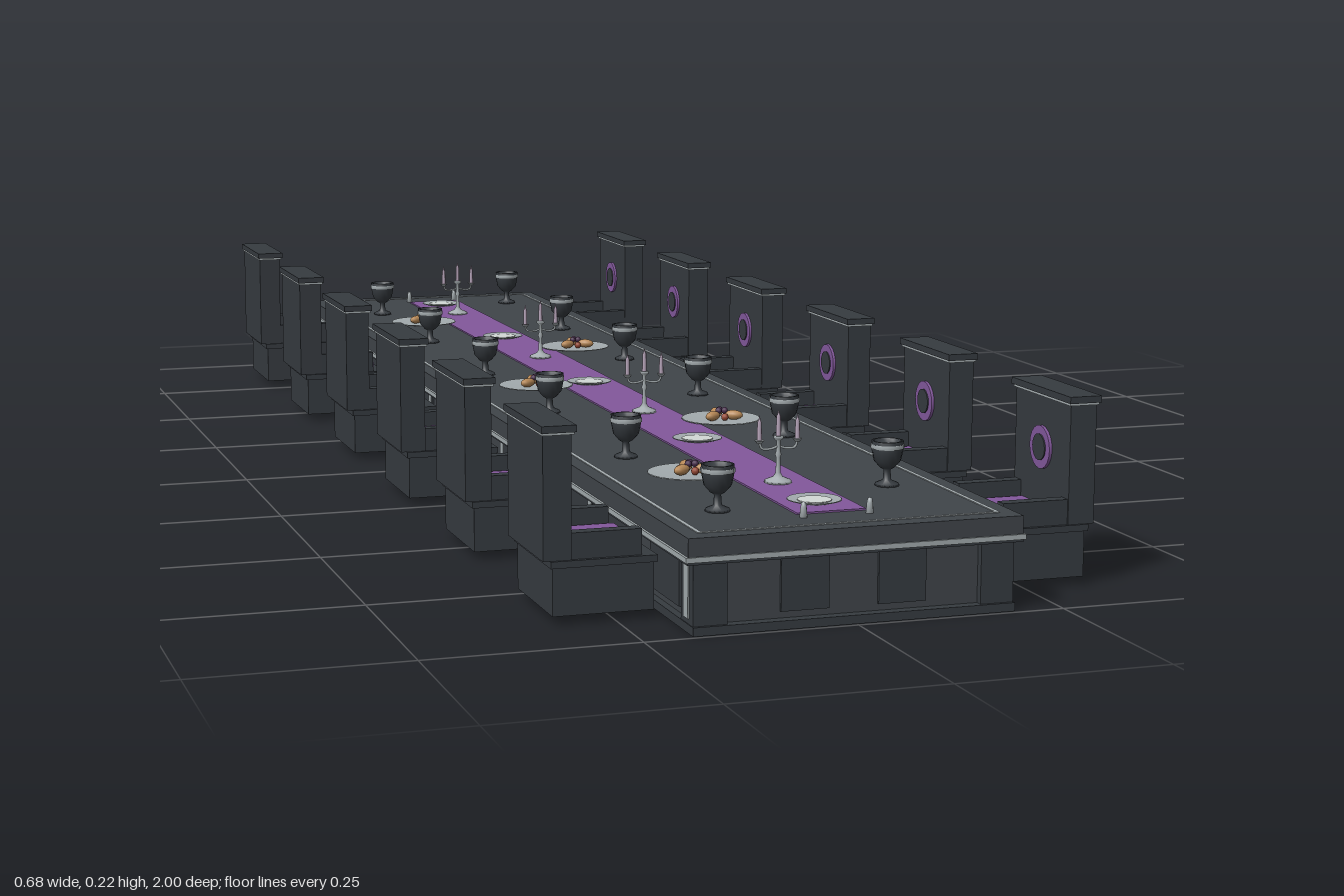
import * as THREE from 'three';

const paint = (name, color) => {
  const m = new THREE.MeshStandardMaterial({ color });
  m.name = name;
  return m;
};
const M = {
  stone: paint('charcoal stone', 0x40454a),
  dark: paint('dark wood', 0x363b40),
  silver: paint('silver', 0xa3abae),
  pale: paint('pale porcelain', 0xd3d9d6),
  purple: paint('purple cloth', 0x83589c),
  wax: paint('lilac wax', 0xb5a3b8),
  bread: paint('bread crust', 0xb98a58),
  fruit: paint('dark fruit', 0x4a2f4f),
  red: paint('red fruit', 0x9a4a35),
};

function add(parent, name, geo, mat, x = 0, y = 0, z = 0) {
  const mesh = new THREE.Mesh(geo, mat);
  mesh.name = name;
  mesh.position.set(x, y, z);
  parent.add(mesh);
  return mesh;
}
// Box given by its min and max corners
function box(parent, name, mat, x0, x1, y0, y1, z0, z1) {
  return add(parent, name, new THREE.BoxGeometry(x1 - x0, y1 - y0, z1 - z0), mat,
    (x0 + x1) / 2, (y0 + y1) / 2, (z0 + z1) / 2);
}
function lathe(parent, name, mat, pts, seg = 16, x = 0, y = 0, z = 0) {
  return add(parent, name, new THREE.LatheGeometry(pts.map(p => new THREE.Vector2(...p)), seg), mat, x, y, z);
}
function group(parent, name, x = 0, y = 0, z = 0) {
  const g = new THREE.Group();
  g.name = name;
  g.position.set(x, y, z);
  parent.add(g);
  return g;
}

const TOP = 0.11;

function table(root) {
  const t = group(root, 'table');
  box(t, 'plinth', M.dark, -0.192, 0.192, 0, 0.01, -0.995, 0.995);
  box(t, 'body', M.stone, -0.183, 0.183, 0.01, 0.082, -0.982, 0.982);
  box(t, 'silverTrim', M.silver, -0.202, 0.202, 0.083, 0.089, -0.999, 0.999);
  box(t, 'underTop', M.dark, -0.2, 0.2, 0.08, 0.083, -0.997, 0.997);
  box(t, 'tabletop', M.stone, -0.199, 0.199, 0.089, TOP, -0.997, 0.997);
  for (const s of [-1, 1]) {
    // corner pilasters, end panels and side panels
    for (const e of [-1, 1]) {
      add(t, 'cornerPilaster', new THREE.BoxGeometry(0.04, 0.07, 0.04), M.dark, s * 0.171, 0.045, e * 0.971);
      add(t, 'endPanel', new THREE.BoxGeometry(0.057, 0.062, 0.006), M.dark, s * 0.058, 0.049, e * 0.983);
    }
    for (const z of [-0.97, -0.6, -0.2, 0.2, 0.6, 0.97])
      add(t, 'silverStrip', new THREE.BoxGeometry(0.006, 0.064, 0.016), M.silver, s * (Math.abs(z) > 0.9 ? 0.1895 : 0.184), 0.048, z);
    for (let i = 0; i < 12; i++)
      add(t, 'sidePanel', new THREE.BoxGeometry(0.006, 0.062, 0.1), M.dark, s * 0.183, 0.049, -0.88 + i * 0.16);
    // inlaid line around the top
    add(t, 'inlaySide', new THREE.BoxGeometry(0.005, 0.001, 1.95), M.silver, s * 0.178, TOP + 0.0005, 0);
    add(t, 'inlayEnd', new THREE.BoxGeometry(0.351, 0.001, 0.005), M.silver, 0, TOP + 0.0005, s * 0.9725);
  }
  box(t, 'runner', M.purple, -0.042, 0.042, TOP, TOP + 0.002, -0.917, 0.917);
}

// Chair facing -x, placed on the +x side
function chair(root, side, z) {
  const c = group(root, 'chair', 0, 0, z);
  if (side < 0) c.rotation.y = Math.PI;
  box(c, 'seatBase', M.dark, 0.206, 0.324, 0.01, 0.065, -0.07, 0.07);
  box(c, 'seatRim', M.dark, 0.203, 0.327, 0.065, 0.073, -0.074, 0.074);
  box(c, 'cushion', M.purple, 0.215, 0.304, 0.073, 0.084, -0.05, 0.05);
  for (const s of [-1, 1])
    add(c, 'armrest', new THREE.BoxGeometry(0.085, 0.03, 0.016), M.dark, 0.2625, 0.088, s * 0.061);
  box(c, 'backrest', M.dark, 0.302, 0.335, 0.073, 0.214, -0.071, 0.071);
  box(c, 'backTrim', M.silver, 0.2995, 0.3365, 0.214, 0.217, -0.074, 0.074);
  box(c, 'backCap', M.dark, 0.298, 0.338, 0.217, 0.225, -0.077, 0.077);
  // plain round medallion
  const disc = add(c, 'medallion', new THREE.CylinderGeometry(0.026, 0.026, 0.004, 20), M.purple, 0.3005, 0.153, 0);
  disc.rotation.z = Math.PI / 2;
  const core = add(c, 'medallionCentre', new THREE.CylinderGeometry(0.016, 0.016, 0.004, 16), M.dark, 0.299, 0.153, 0);
  core.rotation.z = Math.PI / 2;
}

function goblet(root, x, z) {
  const g = group(root, 'goblet', x, TOP, z);
  lathe(g, 'gobletCup', M.dark, [[0, 0], [0.015, 0], [0.014, 0.003], [0.005, 0.007], [0.004, 0.019],
    [0.009, 0.022], [0.016, 0.03], [0.0185, 0.042], [0.019, 0.054], [0.016, 0.054], [0.014, 0.045], [0, 0.043]]);
  lathe(g, 'gobletBand', M.silver, [[0.0188, 0.045], [0.0198, 0.045], [0.0198, 0.05], [0.019, 0.05]]);
}

function candelabrum(root, z) {
  const g = group(root, 'candelabrum', 0, TOP + 0.002, z);
  lathe(g, 'stand', M.silver, [[0, 0], [0.017, 0], [0.016, 0.003], [0.006, 0.007], [0.003, 0.012], [0.0025, 0.03],
    [0.004, 0.034], [0.0025, 0.038], [0.0025, 0.05], [0.006, 0.053], [0.006, 0.056], [0, 0.056]], 12);
  add(g, 'middleCandle', new THREE.CylinderGeometry(0.0025, 0.003, 0.025, 10), M.wax, 0, 0.068, 0);
  add(g, 'middleTip', new THREE.ConeGeometry(0.002, 0.008, 8), M.wax, 0, 0.084, 0);
  for (const s of [-1, 1]) {
    const path = new THREE.CatmullRomCurve3([[0, 0.044], [0.01, 0.041], [0.021, 0.042], [0.024, 0.05]]
      .map(([x, y]) => new THREE.Vector3(s * x, y, 0)));
    add(g, 'arm', new THREE.TubeGeometry(path, 12, 0.0016, 6), M.silver);
    add(g, 'candleCup', new THREE.CylinderGeometry(0.006, 0.003, 0.004, 10), M.silver, s * 0.024, 0.05, 0);
    add(g, 'candle', new THREE.CylinderGeometry(0.0025, 0.003, 0.022, 10), M.wax, s * 0.024, 0.063, 0);
    add(g, 'candleTip', new THREE.ConeGeometry(0.002, 0.008, 8), M.wax, s * 0.024, 0.078, 0);
  }
}

function platter(root, x, z) {
  const g = group(root, 'platter', x, TOP, z);
  lathe(g, 'dish', M.silver, [[0, 0], [0.036, 0], [0.053, 0.003], [0.052, 0.0045], [0.036, 0.002], [0, 0.002]], 24);
  for (let i = 0; i < 3; i++) {
    const a = i * Math.PI * 2 / 3 + 0.5;
    const roll = add(g, 'breadRoll', new THREE.SphereGeometry(0.008, 12, 8), M.bread, Math.cos(a) * 0.017, 0.0085, Math.sin(a) * 0.017);
    roll.scale.set(1.6, 0.8, 0.85);
    roll.rotation.y = -a;
    add(g, 'redFruit', new THREE.SphereGeometry(0.005, 10, 8), M.red, Math.cos(a + 1) * 0.013, 0.007, Math.sin(a + 1) * 0.013);
    add(g, 'grape', new THREE.SphereGeometry(0.0045, 10, 8), M.fruit, Math.cos(a) * 0.005, 0.014, Math.sin(a) * 0.005);
  }
}

export function createModel() {
  const root = new THREE.Group();
  root.name = 'banquetTable';
  table(root);

  // six seats on each side, each with a goblet
  for (let i = 0; i < 6; i++) {
    const z = (i - 2.5) / 3;
    for (const s of [-1, 1]) {
      chair(root, s, z);
      goblet(root, s * 0.12, z - s * 0.038);
    }
  }
  for (const z of [-0.75, -0.25, 0.25, 0.75]) candelabrum(root, z);
  [-0.667, -0.333, 0, 0.333, 0.667].forEach((z, i) => platter(root, i % 2 ? 0.08 : -0.08, z));

  // plates along the runner
  for (const z of [-0.865, -0.465, 0, 0.465, 0.865]) {
    const p = group(root, 'centrePlate', 0, TOP + 0.002, z);
    lathe(p, 'plateRim', M.silver, [[0, 0], [0.022, 0], [0.032, 0.003], [0.031, 0.004], [0.021, 0.002], [0, 0.002]], 24);
    add(p, 'plateCentre', new THREE.CylinderGeometry(0.02, 0.02, 0.002, 20), M.pale, 0, 0.002, 0);
  }
  // small shakers at the runner ends
  for (const e of [-1, 1])
    for (const s of [-1, 1])
      lathe(root, 'shaker', M.silver, [[0, 0], [0.0045, 0], [0.0035, 0.012], [0.0025, 0.017], [0, 0.018]], 10, s * 0.04, TOP, e * 0.932);
  return root;
}
